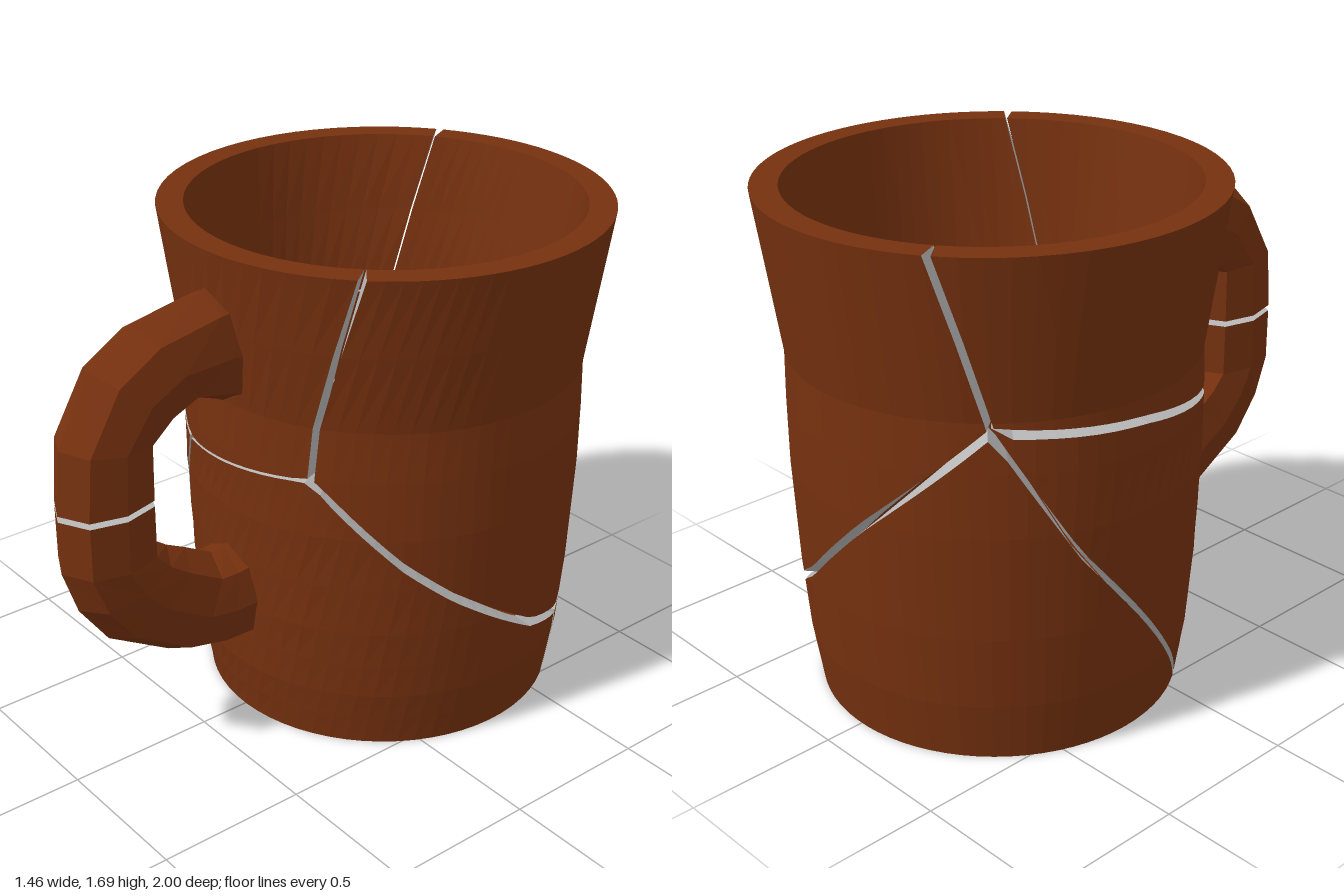
import * as THREE from 'three';

const clay = new THREE.MeshStandardMaterial({ color: 0x76310f });
clay.name = 'brown glaze';
const raw = new THREE.MeshStandardMaterial({ color: 0xb8b8b8 });
raw.name = 'grey fracture';

const CZ = -0.27, TOP = 1.69;
const lerp = THREE.MathUtils.lerp, clamp = THREE.MathUtils.clamp;

// piecewise linear lookup through [x, y] points
const table = (...pts) => (x) => {
  if (x <= pts[0][0]) return pts[0][1];
  for (let i = 1; i < pts.length; i++) {
    const [x0, y0] = pts[i - 1], [x1, y1] = pts[i];
    if (x <= x1) return lerp(y0, y1, (x - x0) / (x1 - x0));
  }
  return pts[pts.length - 1][1];
};

// wall profile: radius by height
const outerR = table([0, 0.595], [0.2, 0.625], [0.45, 0.645], [0.8, 0.66], [1, 0.66], [1.17, 0.656], [TOP, 0.73]);
const innerR = table([0, 0.55], [0.1, 0.56], [0.8, 0.58], [1.17, 0.576], [TOP, 0.642]);
const LEVELS = [0, 0.1, 0.2, 0.32, 0.45, 0.62, 0.8, 1, 1.17, 1.43, TOP];

// cracks running round the wall: height by angle (0 = front, 90 = +x)
const frontRight = [[30, 0.99], [56, 0.7], [70, 0.575], [84, 0.47], [101, 0.35], [123, 0.27]];
const back = [[145, 0.36], [165, 0.5], [180, 0.66], [190, 0.77], [227, 1.14]];
const frontLeft = [[227, 1.14], [270, 1.1], [306, 1.03], [323, 0.98], [338, 0.935]];
const turn = (pts) => pts.map(([a, y]) => [a + 360, y]);
const sweepBack = table(...frontRight, ...back);
const sweepFront = table(...frontLeft, ...turn(frontRight));
const leftSlant = [[250, 0.72], [288, 0.2], [304, 0]];
const backPeak = table([123, 0.27], ...back, ...leftSlant);
const leftLow = table([227, 1.14], ...leftSlant);
const base = () => 0, rim = () => TOP;

// cracks running up the wall: angle by height
const rimRight = table([0.99, 30], [1.15, 31], [TOP, 44]);
const rimBack = table([1.14, 227], [TOP, 214]);
const frontSlash = table([0, 304], [0.2, 312], [0.5, 322], [0.935, 338]);
const shift = (f, d) => (y) => f(y) + d;

// half width of a crack, finest behind the handle
const gapAt = table([-30, 0.014], [-16, 0.004], [26, 0.005], [36, 0.017], [225, 0.017], [240, 0.014], [330, 0.014]);
const gap = (a) => gapAt(a > 330 ? a - 360 : a);

function meshOf(name, tris, material) {
  const g = new THREE.BufferGeometry();
  g.setAttribute('position', new THREE.Float32BufferAttribute(tris.flatMap((p) => p.toArray()), 3));
  g.computeVertexNormals();
  const m = new THREE.Mesh(g, material);
  m.name = name;
  return m;
}

const side = new THREE.Triangle();
function quad(list, a, b, c, d) {
  for (const t of [[a, b, c], [a, c, d]]) {
    if (side.set(...t).getArea() > 1e-9) list.push(...t);
  }
}

// one curved layer of a shard as a grid of points [column][row]
function layer(s, n, radius, width) {
  const left = shift(s.left, s.pointLeft ? 0 : width);
  const right = shift(s.right, s.pointRight ? 0 : -width);
  const cols = [];
  for (let i = 0; i <= n; i++) {
    const angle = (y) => lerp(left(y), right(y), i / n);
    const settle = (f, sign) => {
      let y = 0.8;
      for (let k = 0; k < 30; k++) {
        const a = angle(y), h = f(a);
        y = f === base || f === rim ? h : clamp(h + sign * width * gap(a), 0, TOP);
      }
      return y;
    };
    const lo = settle(s.low, 1), hi = Math.max(lo, settle(s.high, -1));
    cols.push(LEVELS.map((level) => {
      const y = clamp(level, lo, hi), a = THREE.MathUtils.degToRad(angle(y));
      return new THREE.Vector3(Math.sin(a) * radius(y), y, CZ + Math.cos(a) * radius(y));
    }));
  }
  return cols;
}

// thick wall shard with glazed faces and raw broken edges
function shard(s) {
  const n = Math.ceil((s.right(0.6) - s.left(0.6)) / 5);
  const o = layer(s, n, outerR, 1), q = layer(s, n, innerR, 0.25);
  const glazed = [], broken = [], m = LEVELS.length - 1;
  for (let i = 0; i < n; i++) {
    for (let j = 0; j < m; j++) {
      quad(glazed, o[i][j], o[i + 1][j], o[i + 1][j + 1], o[i][j + 1]);
      quad(glazed, q[i + 1][j], q[i][j], q[i][j + 1], q[i + 1][j + 1]);
    }
    quad(s.low === base ? glazed : broken, q[i][0], q[i + 1][0], o[i + 1][0], o[i][0]);
    quad(s.high === rim ? glazed : broken, o[i][m], o[i + 1][m], q[i + 1][m], q[i][m]);
  }
  for (let j = 0; j < m; j++) {
    quad(broken, q[0][j], o[0][j], o[0][j + 1], q[0][j + 1]);
    quad(broken, o[n][j], q[n][j], q[n][j + 1], o[n][j + 1]);
  }
  const g = new THREE.Group();
  g.name = s.name;
  g.add(meshOf('glazedWall', glazed, clay), meshOf('brokenEdge', broken, raw));
  return g;
}

// handle half lofted through [outer z, outer y, inner z, inner y] stations
const SECTION = [[0, 0], [0.1, 0.15], [0.13, 0.5], [0.1, 0.85], [0, 1], [-0.1, 0.85], [-0.13, 0.5], [-0.1, 0.15]];
function handle(name, stations, brokenStart) {
  const rings = stations.map(([zo, yo, zi, yi]) =>
    SECTION.map(([x, t]) => new THREE.Vector3(x, lerp(yo, yi, t), lerp(zo, zi, t))));
  const skin = [], cut = [];
  for (let i = 0; i < rings.length - 1; i++) {
    for (let k = 0; k < 8; k++) {
      const l = (k + 1) % 8;
      quad(skin, rings[i][k], rings[i + 1][k], rings[i + 1][l], rings[i][l]);
    }
  }
  const end = brokenStart ? [...rings[0]] : [...rings[rings.length - 1]].reverse();
  for (let k = 1; k < 7; k++) cut.push(end[0], end[k], end[k + 1]);
  const g = new THREE.Group();
  g.name = name;
  g.add(meshOf('handleSkin', skin, clay), meshOf('handleBreak', cut, raw));
  return g;
}

// half of the floor disc, split along a diameter
function floorHalf(name, turnY) {
  const R = 0.562, a = Math.asin(0.012 / R);
  const shape = new THREE.Shape();
  shape.absarc(0, 0, R, a, Math.PI - a, false);
  const g = new THREE.ExtrudeGeometry(shape, { depth: 0.1, bevelEnabled: false, curveSegments: 28 });
  g.rotateX(-Math.PI / 2).rotateY(turnY).translate(0, 0, CZ);
  const m = new THREE.Mesh(g, [clay, raw]);
  m.name = name;
  return m;
}

export function createModel() {
  const mug = new THREE.Group();
  mug.name = 'crackedMug';
  const shards = [
    { name: 'upperBackShard', left: rimRight, right: rimBack, low: sweepBack, high: rim },
    { name: 'upperFrontShard', left: rimBack, right: shift(rimRight, 360), low: sweepFront, high: rim },
    { name: 'lowerFrontShard', left: frontSlash, right: () => 483, low: base, high: sweepFront },
    { name: 'lowerBackShard', left: () => 123, right: () => 304, low: base, high: backPeak, pointRight: true },
    { name: 'leftShard', left: () => 227, right: frontSlash, low: leftLow, high: sweepFront, pointLeft: true },
  ];
  shards.forEach((s) => mug.add(shard(s)));

  const tilt = THREE.MathUtils.degToRad(33.5);
  mug.add(floorHalf('backFloor', tilt), floorHalf('frontFloor', tilt + Math.PI));

  mug.add(handle('upperHandle', [
    [0.37, 1.565, 0.37, 1.16], [0.46, 1.555, 0.41, 1.18], [0.7, 1.5, 0.52, 1.22], [0.86, 1.4, 0.6, 1.19],
    [0.98, 1.18, 0.67, 1.15], [1, 0.97, 0.67, 0.97],
  ], false));
  mug.add(handle('lowerHandle', [
    [1, 0.95, 0.67, 0.95], [1, 0.77, 0.67, 0.77], [0.95, 0.62, 0.62, 0.735], [0.85, 0.48, 0.55, 0.7],
    [0.63, 0.35, 0.45, 0.645], [0.48, 0.315, 0.4, 0.65], [0.34, 0.31, 0.34, 0.66],
  ], true));
  return mug;
}
